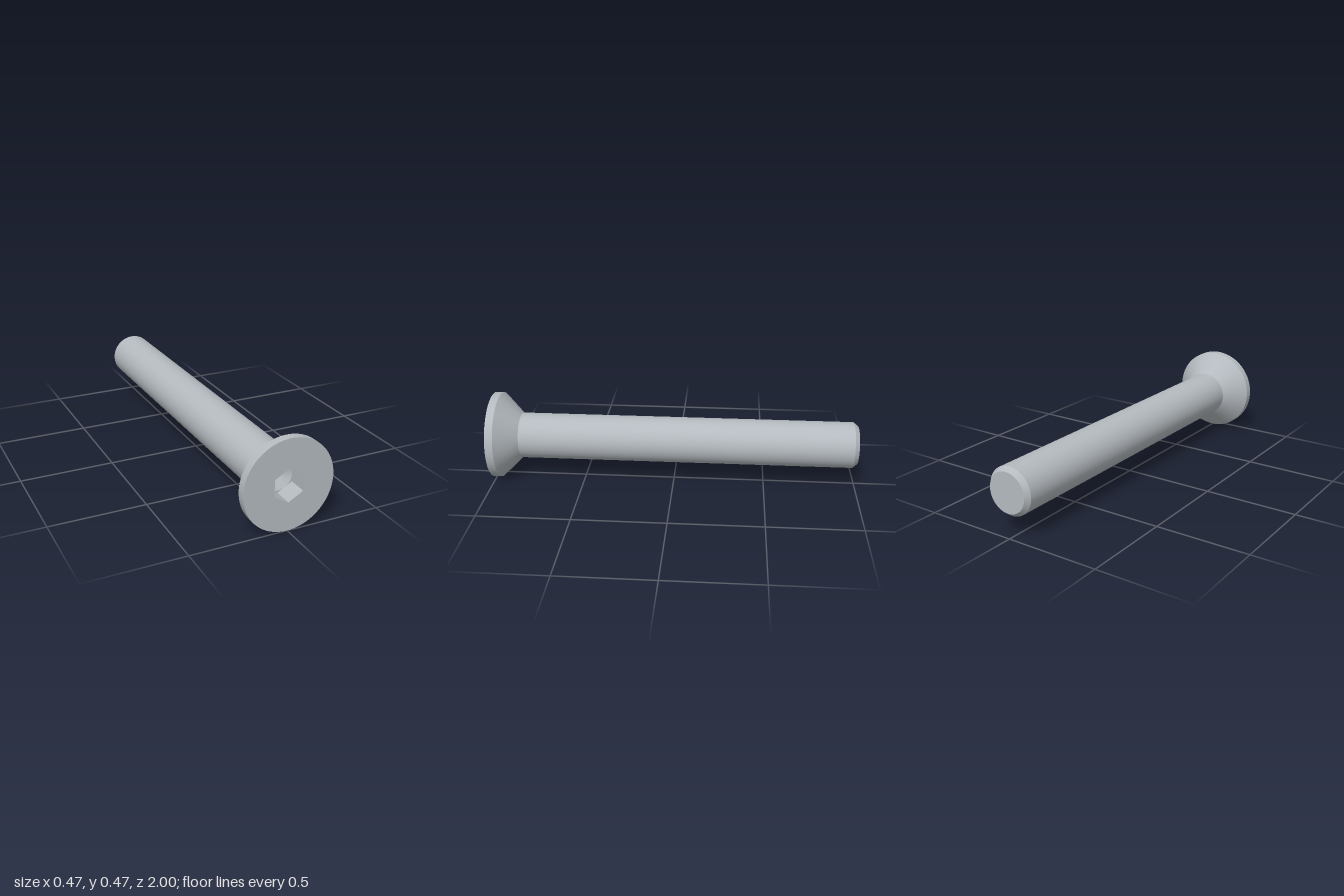
import * as THREE from 'three';

const HEAD_R = 0.236, SHAFT_R = 0.125, HEX_R = 0.0875, DRILL_R = 0.0755;
const FLOOR_Z = 0.9;

// Surface of revolution about z from [radius, z] points; rising z faces outward
function turned(points, segments = 96) {
  const g = new THREE.LatheGeometry(points.map(([r, z]) => new THREE.Vector2(r, z)), segments);
  return g.rotateX(Math.PI / 2);
}

function hexPoints() {
  return Array.from({ length: 6 }, (_, i) => {
    const a = Math.PI / 2 + i * Math.PI / 3;
    return new THREE.Vector2(HEX_R * Math.cos(a), HEX_R * Math.sin(a));
  });
}

export function createModel() {
  const model = new THREE.Group();
  model.name = 'countersunkScrew';
  const steel = new THREE.MeshStandardMaterial({ color: 0xb4babf });
  steel.name = 'steel grey';

  const screw = new THREE.Group();
  screw.name = 'screw';
  screw.position.y = HEAD_R;
  model.add(screw);

  const add = (name, geometry) => {
    const mesh = new THREE.Mesh(geometry, steel);
    mesh.name = name;
    screw.add(mesh);
  };

  // Outer skin, one band per part so the edges between them stay sharp
  add('shaftEnd', turned([[0, -1], [0.105, -1]]));
  add('endChamfer', turned([[0.105, -1], [SHAFT_R, -0.975]]));
  add('shaft', turned([[SHAFT_R, -0.975], [SHAFT_R, 0.846]]));
  add('headCone', turned([[SHAFT_R, 0.846], [HEAD_R, 0.957]]));
  add('headRim', turned([[HEAD_R, 0.957], [HEAD_R, 1]]));

  // Flat head face with the hexagonal opening
  const face = new THREE.Shape().absarc(0, 0, HEAD_R, 0, Math.PI * 2);
  face.holes.push(new THREE.Path(hexPoints()));
  add('headFace', new THREE.ShapeGeometry(face, 48).translate(0, 0, 1));

  // Six flat socket walls facing inward
  const walls = turned([[HEX_R, 1], [HEX_R, FLOOR_Z]], 6).toNonIndexed();
  walls.computeVertexNormals();
  add('socketWalls', walls);

  // Corner ledges around the drilled cone at the bottom of the socket
  const ledge = new THREE.Shape(hexPoints());
  ledge.holes.push(new THREE.Path().absarc(0, 0, DRILL_R, 0, Math.PI * 2, true));
  add('socketLedge', new THREE.ShapeGeometry(ledge, 48).translate(0, 0, FLOOR_Z));
  add('socketCone', turned([[DRILL_R, FLOOR_Z], [0, FLOOR_Z - 0.044]]));

  return model;
}
